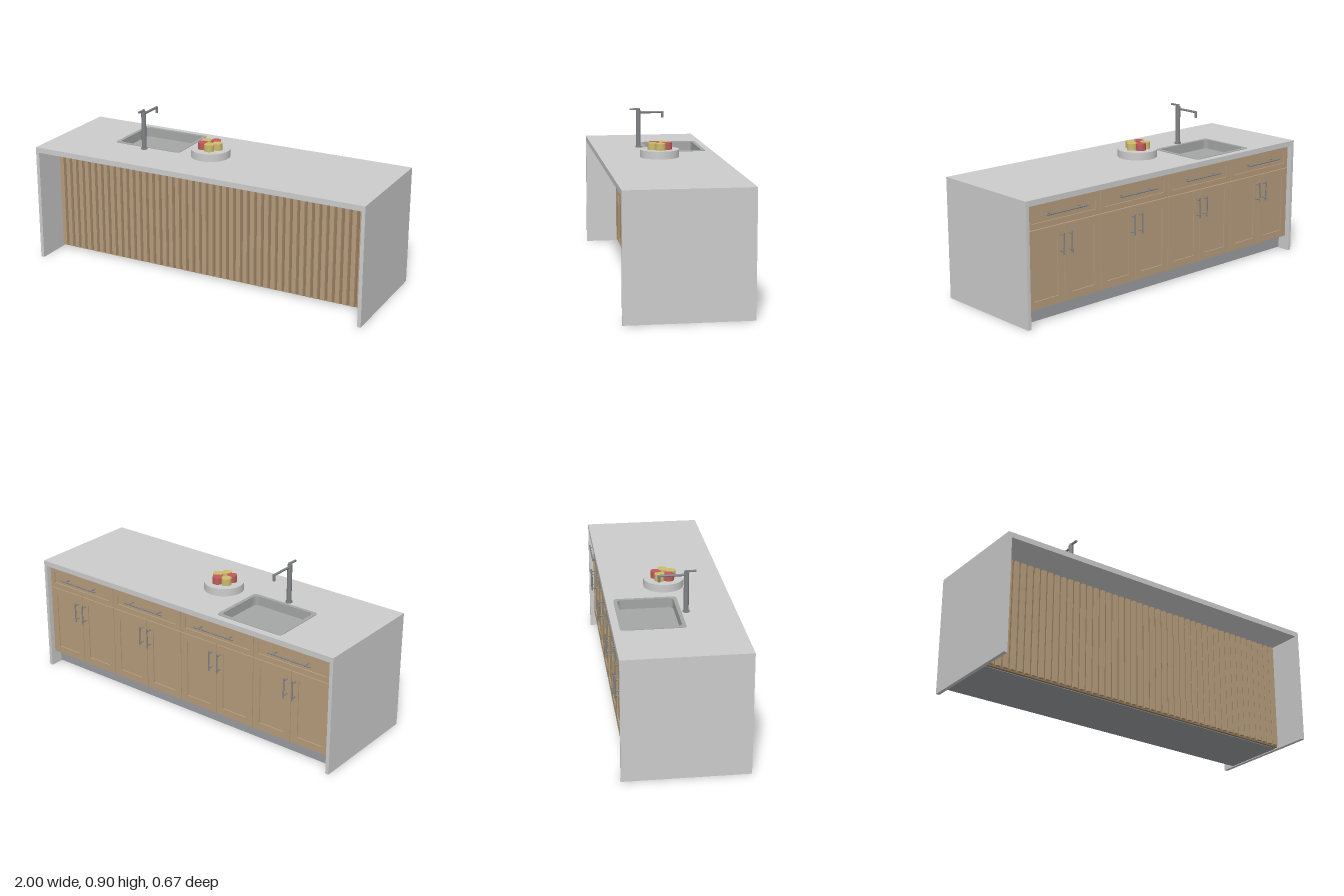
import * as THREE from 'three';

const mat = (color) => new THREE.MeshStandardMaterial({ color });
const stone = mat(0xcccccc), wood = mat(0xb59c7c), darkWood = mat(0x93795c), steel = mat(0xa4a6a6);
const metal = mat(0x808284), kick = mat(0x999ca0), yellow = mat(0xcdbb6c), red = mat(0xc05a5a);

function add(parent, name, geometry, material, x = 0, y = 0, z = 0) {
  const mesh = new THREE.Mesh(geometry, material);
  mesh.name = name;
  mesh.position.set(x, y, z);
  parent.add(mesh);
  return mesh;
}

// Box given by its minimum and maximum corners
function block(parent, name, material, x0, x1, y0, y1, z0, z1) {
  return add(parent, name, new THREE.BoxGeometry(x1 - x0, y1 - y0, z1 - z0), material,
    (x0 + x1) / 2, (y0 + y1) / 2, (z0 + z1) / 2);
}

// Round bar between two points
function rod(parent, name, material, a, b, r, sides = 12) {
  const p = new THREE.Vector3(...a), q = new THREE.Vector3(...b);
  const mesh = add(parent, name, new THREE.CylinderGeometry(r, r, p.distanceTo(q), sides), material);
  mesh.position.copy(p).lerp(q, 0.5);
  mesh.quaternion.setFromUnitVectors(new THREE.Vector3(0, 1, 0), q.sub(p).normalize());
  return mesh;
}

// Rectangle outline with rounded corners
function outline(x0, x1, y0, y1, r, Type = THREE.Shape) {
  const s = new Type();
  s.moveTo(x0 + r, y0);
  s.lineTo(x1 - r, y0);
  s.quadraticCurveTo(x1, y0, x1, y0 + r);
  s.lineTo(x1, y1 - r);
  s.quadraticCurveTo(x1, y1, x1 - r, y1);
  s.lineTo(x0 + r, y1);
  s.quadraticCurveTo(x0, y1, x0, y1 - r);
  s.lineTo(x0, y0 + r);
  s.quadraticCurveTo(x0, y0, x0 + r, y0);
  return s;
}

function rect(x0, x1, y0, y1, Type = THREE.Shape) {
  return new Type([[x0, y0], [x1, y0], [x1, y1], [x0, y1]].map((p) => new THREE.Vector2(...p)));
}

function extrude(shape, depth) {
  return new THREE.ExtrudeGeometry(shape, { depth, bevelEnabled: false, curveSegments: 6 });
}

// Flat ring lying in xz, its top at the mesh's height and its body below
function ring(outer, hole, depth) {
  outer.holes.push(hole);
  return extrude(outer, depth).rotateX(Math.PI / 2);
}

// Framed door or drawer front with a recessed panel
function framedFront(parent, name, x0, x1, y0, y1, margin) {
  const front = new THREE.Group();
  front.name = name;
  parent.add(front);
  const frame = rect(x0, x1, y0, y1);
  frame.holes.push(rect(x0 + margin, x1 - margin, y0 + margin, y1 - margin, THREE.Path));
  add(front, 'frame', extrude(frame, 0.02), wood, 0, 0, -0.303);
  block(front, 'panel', wood, x0 + margin, x1 - margin, y0 + margin, y1 - margin, -0.296, -0.284);
}

// Bar handle on two posts; (dx, dy) is half its length
function barHandle(parent, x, y, dx, dy) {
  const handle = new THREE.Group();
  handle.name = 'handle';
  parent.add(handle);
  rod(handle, 'bar', metal, [x - dx, y - dy, -0.333], [x + dx, y + dy, -0.333], 0.004, 10);
  for (const s of [-0.75, 0.75]) {
    rod(handle, 'post', metal, [x + s * dx, y + s * dy, -0.333], [x + s * dx, y + s * dy, -0.295], 0.0035, 8);
  }
}

export function createModel() {
  const island = new THREE.Group();
  island.name = 'kitchenIsland';

  // Worktop with the sink cut-out, and the two side slabs
  add(island, 'worktop', ring(rect(-1, 1, -0.33, 0.337),
    outline(-0.634, -0.251, -0.274, 0.034, 0.032, THREE.Path), 0.03), stone, 0, 0.67, 0);
  for (const s of [-1, 1]) block(island, 'sideSlab', stone, s * 0.99 - 0.01, s * 0.99 + 0.01, 0, 0.64, -0.33, 0.337);

  // Cabinet body and recessed plinth
  block(island, 'carcass', darkWood, -0.98, 0.98, 0.085, 0.61, -0.284, 0.12);
  block(island, 'topRail', darkWood, -0.98, 0.98, 0.61, 0.64, -0.296, -0.28);
  block(island, 'plinth', kick, -0.98, 0.98, 0.005, 0.085, -0.255, 0.12);

  // Slatted front
  block(island, 'slatBacking', darkWood, -0.98, 0.98, 0.008, 0.64, 0.12, 0.135);
  const slats = new THREE.Group();
  slats.name = 'slats';
  island.add(slats);
  const count = 46, pitch = 0.0425;
  for (let i = 0; i < count; i++) {
    const x = (i - (count - 1) / 2) * pitch;
    block(slats, 'slat', wood, x - 0.0125, x + 0.0125, 0.015, 0.632, 0.135, 0.152);
  }

  // Four cabinets at the back, each a drawer above two doors
  for (let i = 0; i < 4; i++) {
    const cabinet = new THREE.Group();
    cabinet.name = 'cabinet';
    island.add(cabinet);
    const x = (i - 1.5) * 0.49;
    framedFront(cabinet, 'drawerFront', x - 0.243, x + 0.243, 0.506, 0.634, 0.03);
    barHandle(cabinet, x, 0.578, 0.133, 0);
    for (const s of [-1, 1]) {
      const c = x + s * 0.1225;
      framedFront(cabinet, 'door', c - 0.1205, c + 0.1205, 0.086, 0.502, 0.042);
      barHandle(cabinet, x + s * 0.027, 0.407, 0, 0.058);
    }
  }

  // Sink
  const sink = new THREE.Group();
  sink.name = 'sink';
  island.add(sink);
  const bowl = () => outline(-0.63, -0.255, -0.27, 0.03, 0.03, THREE.Path);
  add(sink, 'sinkRim', ring(outline(-0.65, -0.235, -0.29, 0.05, 0.025), bowl(), 0.003), steel, 0, 0.673, 0);
  add(sink, 'sinkWall', ring(outline(-0.634, -0.251, -0.274, 0.034, 0.032), bowl(), 0.052), steel, 0, 0.672, 0);
  block(sink, 'sinkFloor', steel, -0.634, -0.251, 0.612, 0.62, -0.274, 0.034);

  // Tap: collar, column, spout with its outlet, lever
  const tap = new THREE.Group();
  tap.name = 'tap';
  island.add(tap);
  const tx = -0.443, tz = 0.075;
  rod(tap, 'collar', metal, [tx, 0.67, tz], [tx, 0.678, tz], 0.018, 20);
  rod(tap, 'column', metal, [tx, 0.67, tz], [tx, 0.89, tz], 0.0135, 20);
  rod(tap, 'spout', metal, [tx, 0.876, tz], [tx, 0.876, -0.068], 0.0065);
  rod(tap, 'outlet', metal, [tx, 0.844, -0.068], [tx, 0.88, -0.068], 0.0075);
  rod(tap, 'leverPivot', metal, [tx, 0.889, tz], [tx, 0.9, tz], 0.009);
  block(tap, 'lever', metal, tx - 0.005, tx + 0.005, 0.891, 0.9, tz, 0.127);

  // Round stand with a ring of five small jars
  const stand = new THREE.Group();
  stand.name = 'servingStand';
  stand.position.set(-0.057, 0.67, 0.004);
  island.add(stand);
  add(stand, 'stand', new THREE.CylinderGeometry(0.11, 0.11, 0.043, 40), stone, 0, 0.0215, 0);
  [yellow, yellow, red, yellow, red].forEach((color, i) => {
    const a = i * Math.PI * 0.4;
    add(stand, 'jar', new THREE.CylinderGeometry(0.028, 0.028, 0.038, 20), color,
      0.043 * Math.cos(a), 0.062, 0.043 * Math.sin(a));
  });

  return island;
}
